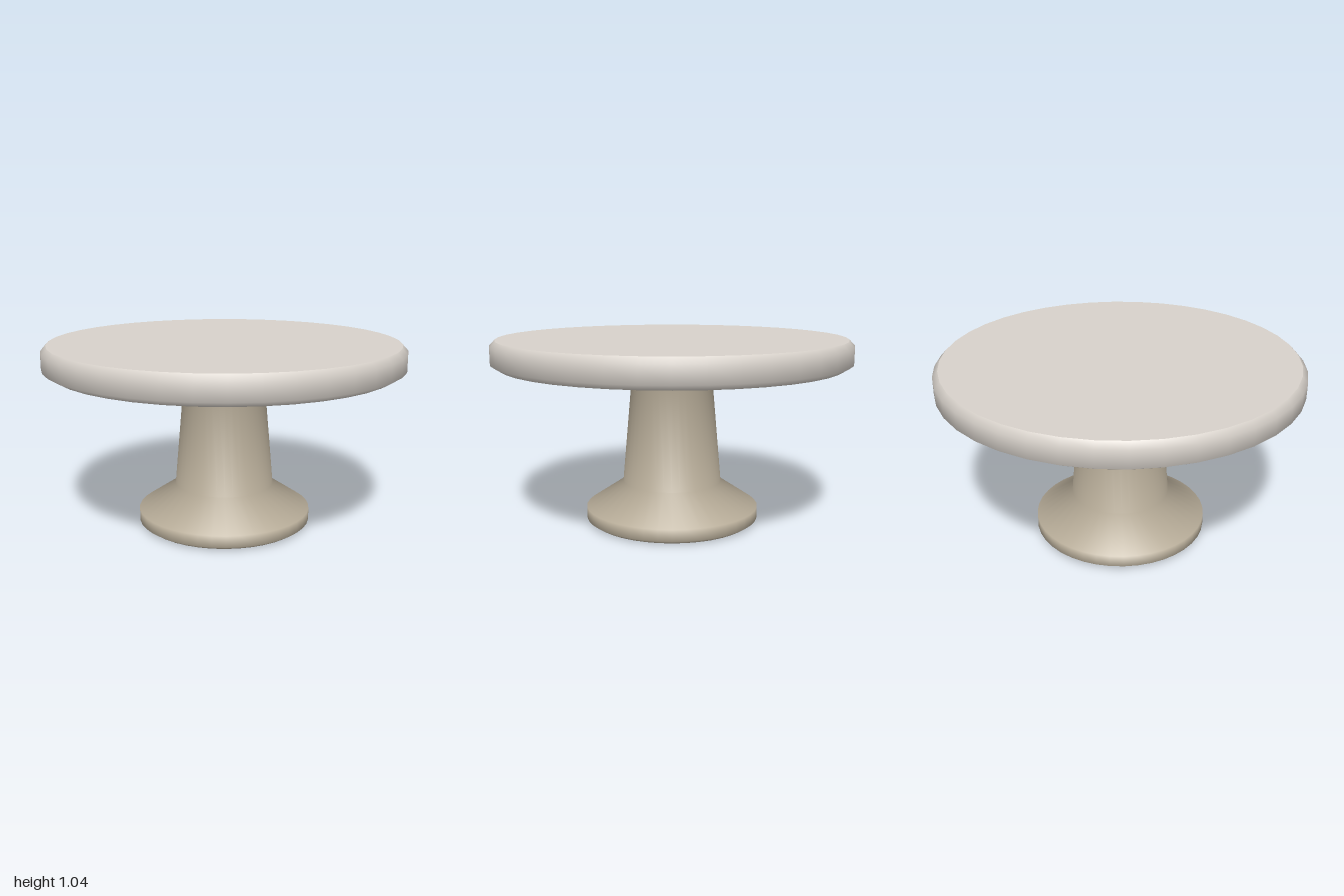
import * as THREE from 'three';

const SEGMENTS = 40;
const stone = new THREE.MeshStandardMaterial({ color: 0xd8d2cb });
stone.name = 'pale stone';
const clay = new THREE.MeshStandardMaterial({ color: 0xb8ad99 });
clay.name = 'warm taupe';

// Smooth turned wall, profile listed from bottom to top
function turned(name, profile, material) {
  const points = profile.map(([r, y]) => new THREE.Vector2(r, y));
  const mesh = new THREE.Mesh(new THREE.LatheGeometry(points, SEGMENTS), material);
  mesh.name = name;
  return mesh;
}

// Flat disc facing up (1) or down (-1), keeping a crisp rim
function disc(name, radius, y, facing, material) {
  const geometry = new THREE.CircleGeometry(radius, SEGMENTS);
  geometry.rotateX(-facing * Math.PI / 2);
  const mesh = new THREE.Mesh(geometry, material);
  mesh.position.y = y;
  mesh.name = name;
  return mesh;
}

export function createModel() {
  const model = new THREE.Group();
  model.name = 'roundTable';

  // Pedestal: wide foot, tapering column, flared collar
  const pedestal = new THREE.Group();
  pedestal.name = 'pedestal';
  pedestal.add(
    turned('column', [
      [0.46, 0], [0.49, 0.02], [0.49, 0.085],
      [0.28, 0.225], [0.23, 0.785], [0.355, 0.895],
    ], clay),
    disc('footUnderside', 0.46, 0, -1, clay),
  );

  // Table top with bevelled rim
  const top = new THREE.Group();
  top.name = 'tableTop';
  top.add(
    turned('rim', [[0.95, 0.89], [1, 0.92], [1, 1.013], [0.97, 1.045]], stone),
    disc('topSurface', 0.97, 1.045, 1, stone),
    disc('topUnderside', 0.95, 0.89, -1, stone),
  );

  model.add(pedestal, top);
  return model;
}
